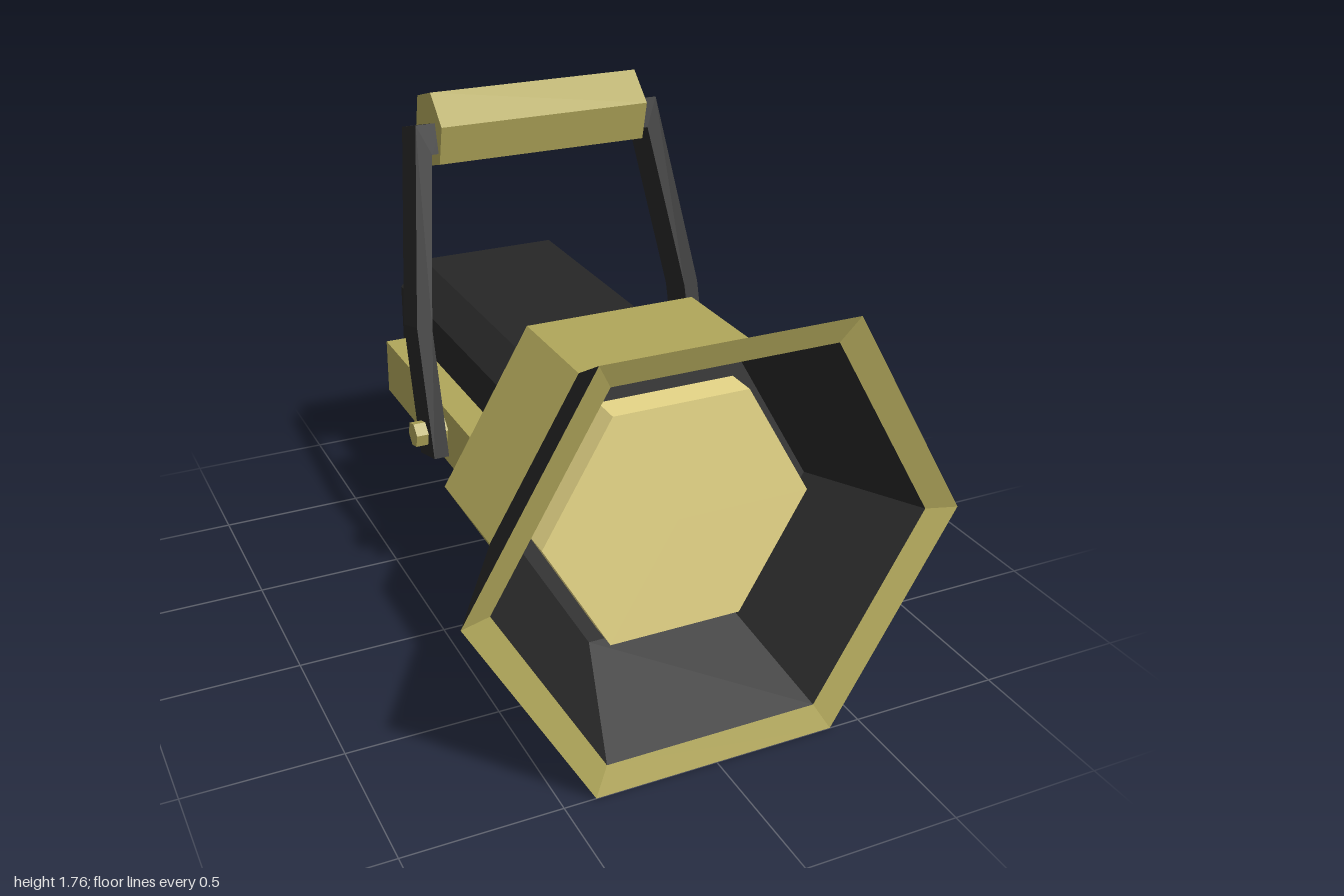
import * as THREE from 'three';

const material = (color) => new THREE.MeshStandardMaterial({ color, flatShading: true });
const AXIS_Y = 0.693; // height of the lamp axis
const TILT = -0.281;  // backward lean of the handle

export function createModel() {
  const group = new THREE.Group();
  const gold = material(0xb0a65a);
  const dark = material(0x272727);
  const grey = material(0x3b3b3b);
  const glass = material(0xe6d687);

  const add = (name, geometry, mat, x = 0, y = 0, z = 0) => {
    const mesh = new THREE.Mesh(geometry, mat);
    mesh.name = name;
    mesh.position.set(x, y, z);
    group.add(mesh);
    return mesh;
  };

  // Six-sided shell around the z axis; profile is [radius, z], rising z faces outward
  const hex = (name, profile, mat, y = AXIS_Y) => {
    const points = profile.map(([r, z]) => new THREE.Vector2(r, z));
    const geometry = new THREE.LatheGeometry(points, 6, Math.PI / 2);
    geometry.rotateX(Math.PI / 2);
    return add(name, geometry, mat, 0, y);
  };

  // Lamp head
  hex('headCollar', [[0, 0.245], [0.562, 0.245], [0.562, 0.62]], gold);
  hex('headFlare', [[0.562, 0.62], [0.795, 1]], dark);
  hex('headRim', [[0.795, 1], [0.7, 0.97]], gold);
  hex('reflector', [[0.7, 0.97], [0.493, 0.62]], dark);
  hex('lensSeat', [[0.493, 0.62], [0, 0.62]], grey);
  hex('lens', [[0.442, 0.62], [0.442, 0.72], [0, 0.72]], glass);

  // Body: chamfered square tube, closing to a smaller square at the back
  const h = 0.335, c = 0.245;
  const octagon = [[h, -c], [h, c], [c, h], [-c, h], [-h, c], [-h, -c], [-c, -h], [c, -h]];
  const square = [[c, -c], [c, c], [c, c], [-c, c], [-c, c], [-c, -c], [-c, -c], [c, -c]];
  const loops = [[octagon, 0.25], [octagon, -0.8], [square, -0.89], [square.map(() => [0, 0]), -0.89]];
  const positions = loops.flatMap(([loop, z]) => loop.flatMap(([x, y]) => [x, y, z]));
  const index = [];
  for (let l = 0; l < loops.length - 1; l++) {
    for (let i = 0; i < 8; i++) {
      const a = l * 8 + i, b = l * 8 + (i + 1) % 8;
      index.push(a, a + 8, b, b, a + 8, b + 8);
    }
  }
  const body = new THREE.BufferGeometry();
  body.setAttribute('position', new THREE.Float32BufferAttribute(positions, 3));
  body.setIndex(index);
  body.computeVertexNormals();
  add('body', body, dark, 0, 0.695);

  // Rear cap and button
  hex('rearCap', [[0, -0.96], [0.15, -0.96], [0.17, -0.89]], gold, 0.707);
  hex('rearButton', [[0, -1], [0.075, -1], [0.092, -0.96]], dark, 0.705);

  // Side rails, handle arms and pivot bolts
  for (const [side, s] of [['left', 1], ['right', -1]]) {
    add(side + 'Rail', new THREE.BoxGeometry(0.11, 0.19, 0.925), gold, s * 0.383, 0.695, -0.2175);

    // Bent strap with a short lug turned into the grip
    const outline = [[0.455, 0], [0.505, 0], [0.505, 0.43], [0.422, 1.062],
      [0.34, 1.062], [0.34, 0.965], [0.38, 0.965], [0.455, 0.42]];
    const shape = new THREE.Shape(outline.map(([x, y]) => new THREE.Vector2(s * x, y)));
    const arm = new THREE.ExtrudeGeometry(shape, { depth: 0.14, bevelEnabled: false });
    arm.translate(0, 0, -0.07);
    add(side + 'HandleArm', arm, dark, 0, 0.635, -0.075).rotation.x = TILT;

    const bolt = new THREE.CylinderGeometry(0.043, 0.043, 0.115, 6);
    bolt.rotateZ(Math.PI / 2);
    add(side + 'PivotBolt', bolt, gold, s * 0.4875, 0.71, -0.097).rotation.x = TILT;
  }

  // Handle grip
  const grip = new THREE.CylinderGeometry(0.131, 0.131, 0.716, 6);
  grip.rotateZ(Math.PI / 2);
  add('handleGrip', grip, gold, 0, 1.637, -0.365).rotation.x = -0.3;

  return group;
}
